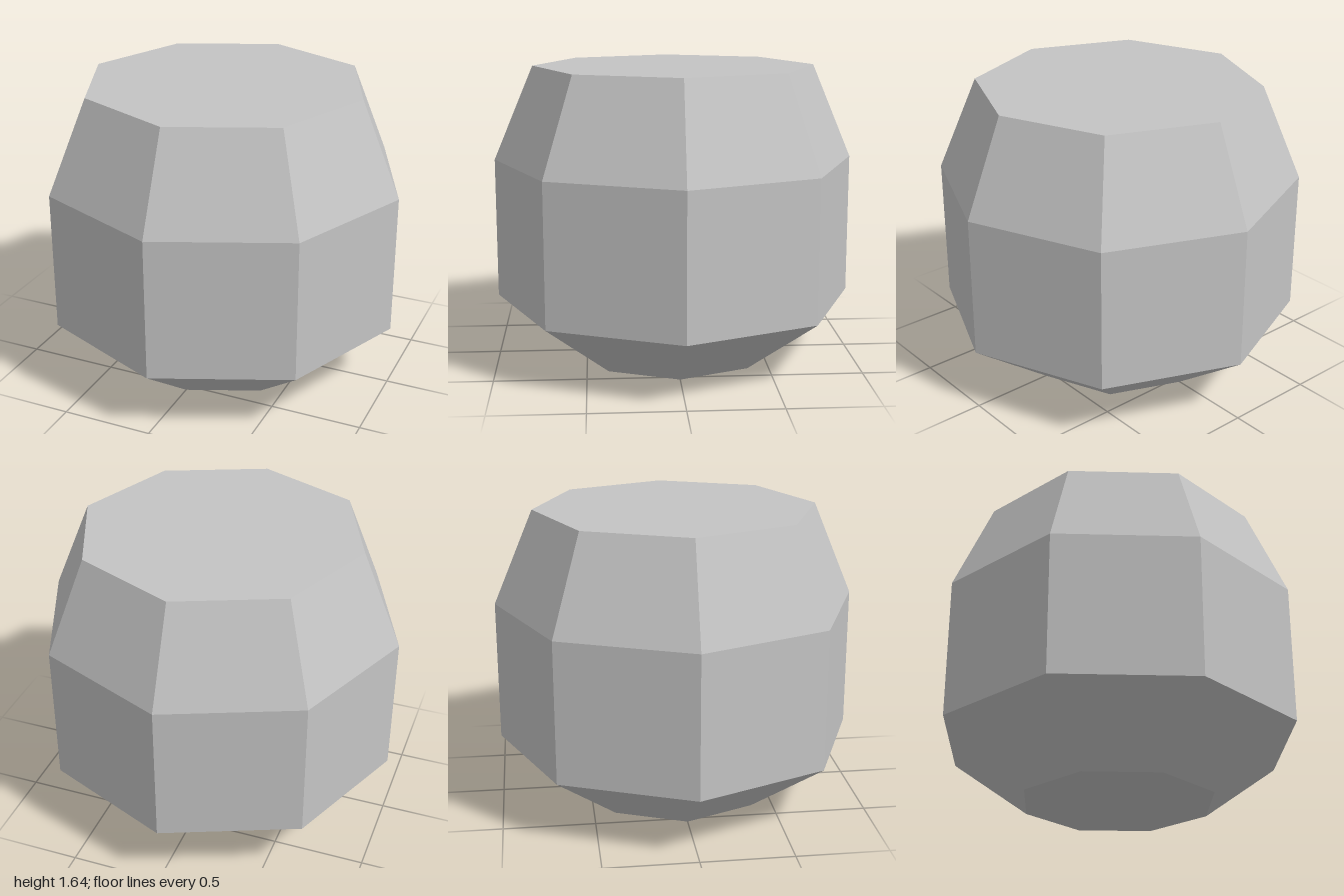
import * as THREE from 'three';

const SIDES = 8;

export function createModel() {
  const group = new THREE.Group();
  group.name = 'octagonalPot';
  const grey = new THREE.MeshStandardMaterial({ color: 0xc4c4c4, flatShading: true });
  grey.name = 'grey';

  const add = (name, geometry) => {
    const mesh = new THREE.Mesh(geometry, grey);
    mesh.name = name;
    group.add(mesh);
    return mesh;
  };

  // Eight-sided wall: flared base, upright middle, tapered shoulder
  const profile = [[0.54, 0], [1, 0.34], [1, 1.12], [0.78, 1.64]]
    .map(([r, y]) => new THREE.Vector2(r, y));
  const wall = new THREE.LatheGeometry(profile, SIDES).toNonIndexed();
  wall.computeVertexNormals();
  add('wall', wall);

  // Flat octagonal ends closing the wall
  add('topFace', new THREE.CircleGeometry(0.78, SIDES).rotateX(-Math.PI / 2).translate(0, 1.64, 0));
  add('bottomFace', new THREE.CircleGeometry(0.54, SIDES).rotateX(Math.PI / 2));

  return group;
}
